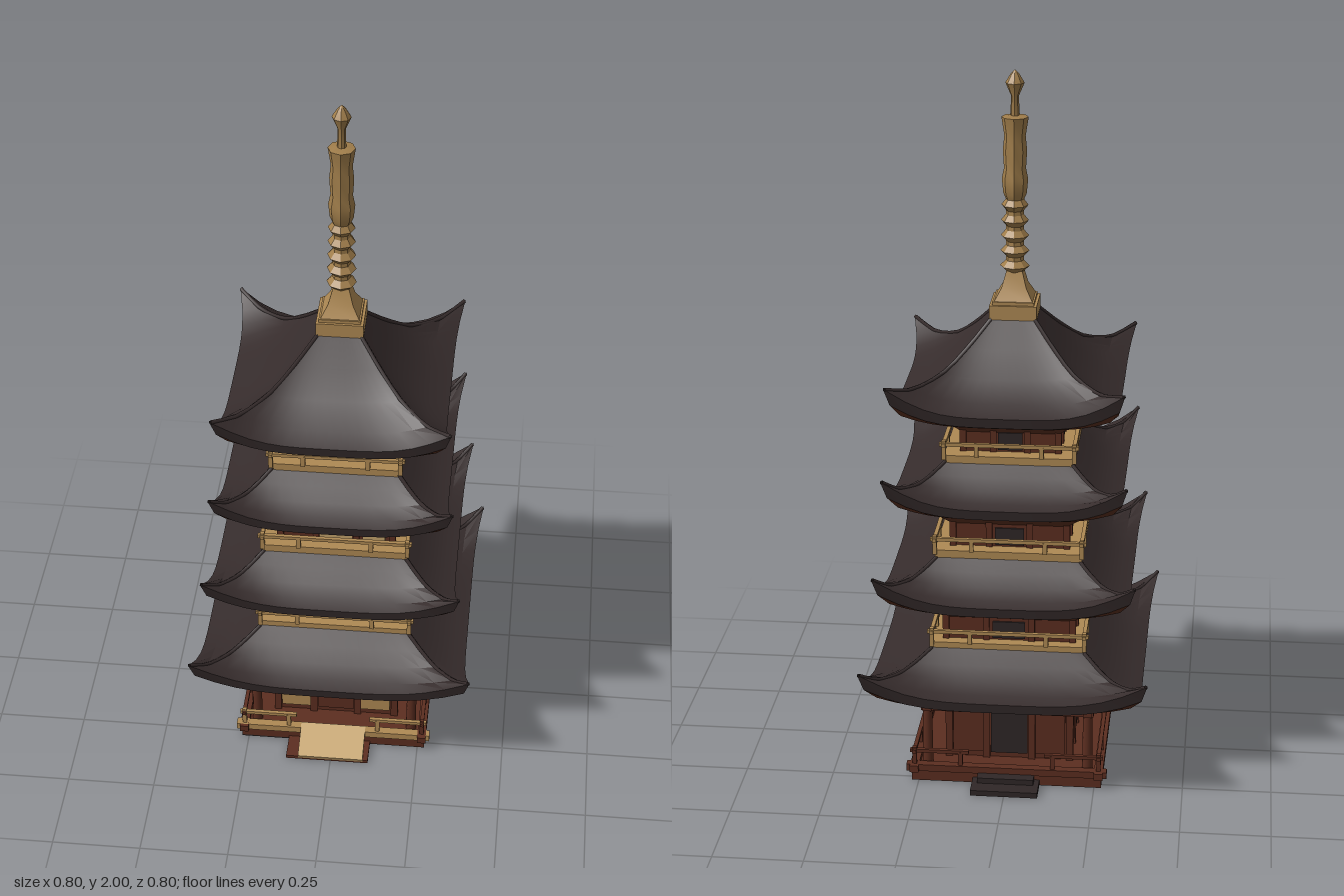
import * as THREE from 'three';
import { toCreasedNormals } from 'three/addons/utils/BufferGeometryUtils.js';

const mat = (name, color, extra = {}) => {
  const m = new THREE.MeshStandardMaterial({ color, ...extra });
  m.name = name;
  return m;
};

// Square loft through rings [halfWidth, y, cornerLift, cornerFlare], listed from the top outwards and down
function squareLoft(rings, segs = 14) {
  const pos = [];
  const point = ([r, y, lift = 0, flare = 0], j, side) => {
    const t = -1 + (2 * j) / segs, k = t ** 4;
    const s = r + flare * k * t * t;
    const v = new THREE.Vector3(t * s, y + lift * k, s);
    return v.applyAxisAngle(new THREE.Vector3(0, 1, 0), (side * Math.PI) / 2);
  };
  for (let side = 0; side < 4; side++)
    for (let i = 0; i < rings.length - 1; i++)
      for (let j = 0; j < segs; j++) {
        const a = point(rings[i], j, side), b = point(rings[i], j + 1, side);
        const c = point(rings[i + 1], j + 1, side), d = point(rings[i + 1], j, side);
        for (const p of [a, d, c, a, c, b]) pos.push(p.x, p.y, p.z);
      }
  const g = new THREE.BufferGeometry();
  g.setAttribute('position', new THREE.Float32BufferAttribute(pos, 3));
  return toCreasedNormals(g, 0.5);
}

export function createModel() {
  const model = new THREE.Group();
  model.name = 'pagoda';
  const roofDark = mat('roof tiles', 0x362c2c, { side: THREE.DoubleSide });
  const wood = mat('red brown wood', 0x5c2e20);
  const soffitWood = mat('eave wood', 0x5c301f, { side: THREE.DoubleSide });
  const tan = mat('tan wood', 0xaf8a54);
  const cream = mat('pale panel', 0xc4a36c);
  const gold = mat('old gold', 0xa17e4b);
  const dark = mat('dark panel', 0x2f2727);

  const add = (parent, name, geo, material, x = 0, y = 0, z = 0) => {
    const m = new THREE.Mesh(geo, material);
    m.name = name;
    m.position.set(x, y, z);
    parent.add(m);
    return m;
  };
  const box = (parent, name, material, w, h, d, x, y, z) =>
    add(parent, name, new THREE.BoxGeometry(w, h, d), material, x, y, z);
  const group = (name, parent = model) => {
    const g = new THREE.Group();
    g.name = name;
    parent.add(g);
    return g;
  };
  // Runs fn on four groups, each turned a quarter further: front, left, back, right
  const fourSides = (name, parent, fn) => {
    for (let s = 0; s < 4; s++) {
      const g = group(name, parent);
      g.rotation.y = (s * Math.PI) / 2;
      fn(g, s);
    }
  };

  // Tiled roof with upturned corners and flared wooden eaves
  function roof(parent, { e, yE, top, rTop, body }) {
    const h = top - yE;
    const at = (u, v, lift, flare) => [rTop + (e - rTop) * u, yE + h * v, lift, flare];
    add(parent, 'roof', squareLoft([
      at(0, 1), at(0.25, 0.64, 0.005), at(0.5, 0.33, 0.015), at(0.78, 0.1, 0.04, 0.008),
      [e, yE, 0.083, 0.02], [e - 0.005, yE - 0.028, 0.06, 0.01],
    ]), roofDark);
    add(parent, 'eaves', squareLoft([
      [e - 0.005, yE - 0.028, 0.06, 0.01], [e * 0.92, yE - 0.036, 0.03, 0.004],
      [e * 0.76, yE - 0.045, 0.006], [body + 0.035, yE - 0.066], [body, yE - 0.1],
    ]), soffitWood);
    // Hip ridges
    for (let k = 0; k < 4; k++) {
      const a = Math.PI / 4 + (k * Math.PI) / 2, q = Math.SQRT2;
      const pts = [[rTop, top], [rTop + (e - rTop) * 0.25, yE + h * 0.64 + 0.005],
        [rTop + (e - rTop) * 0.5, yE + h * 0.33 + 0.015],
        [rTop + (e - rTop) * 0.78 + 0.008, yE + h * 0.1 + 0.04], [e + 0.017, yE + 0.081]]
        .map(([r, y]) => new THREE.Vector3(Math.cos(a) * r * q, y, Math.sin(a) * r * q));
      add(parent, 'hipRidge', new THREE.TubeGeometry(new THREE.CatmullRomCurve3(pts), 10, 0.006, 5), roofDark);
    }
  }

  // Top rail with posts along one side at half width r, optionally open in the middle
  function railing(g, r, y, h, material, gap = 0) {
    const spans = gap ? [[-r, -gap], [gap, r]] : [[-r, r]];
    for (const [a, b] of spans)
      box(g, 'rail', material, b - a + 0.025, 0.01, 0.011, (a + b) / 2, y + h, r);
    for (const x of [-r, -r * 0.5, r * 0.5])
      box(g, 'railPost', material, 0.012, h + (x === -r ? 0.022 : 0), 0.012, x, y + h / 2, r);
  }

  // Platform with railings, a pale ramp in front and a dark step behind
  const base = group('base');
  box(base, 'platform', wood, 0.54, 0.035, 0.54, 0, 0.0175, 0);
  box(base, 'platformUnderside', dark, 0.54, 0.006, 0.54, 0, 0.002, 0);
  fourSides('platformEdge', base, (g, s) => {
    const m = s === 0 ? tan : wood;
    if (s === 0)
      for (const x of [-0.19, 0.19]) box(g, 'edgeBeam', m, 0.19, 0.02, 0.025, x, 0.04, 0.262);
    else box(g, 'edgeBeam', m, 0.57, 0.02, 0.025, 0, 0.04, 0.262);
    railing(g, 0.262, 0.045, 0.045, m, s % 2 === 0 ? 0.12 : 0);
  });
  box(base, 'rampBlock', wood, 0.18, 0.022, 0.06, 0, 0.011, 0.29);
  box(base, 'ramp', cream, 0.19, 0.012, 0.11, 0, 0.029, 0.303).rotation.x = 0.35;
  box(base, 'frontApron', wood, 0.24, 0.01, 0.085, -0.01, 0.005, 0.31);
  box(base, 'lowerStep', dark, 0.19, 0.016, 0.08, 0, 0.008, -0.31);
  box(base, 'upperStep', dark, 0.16, 0.032, 0.04, 0, 0.016, -0.285);

  // Ground storey
  const ground = group('groundStorey');
  box(ground, 'core', wood, 0.35, 0.21, 0.35, 0, 0.14, 0);
  fourSides('groundWall', ground, (g, s) => {
    for (const x of [-0.172, -0.065, 0.065])
      box(g, 'wallPost', wood, 0.02, 0.2, 0.02, x, 0.135, 0.174);
    for (const x of [-0.118, 0.118])
      box(g, 'wallPanel', s === 0 ? tan : wood, 0.085, 0.125, 0.006, x, 0.115, 0.177);
    box(g, 'door', s === 0 ? wood : dark, 0.105, 0.13, 0.006, 0, 0.115, 0.177);
    add(g, 'column', new THREE.CylinderGeometry(0.013, 0.015, 0.2, 8), wood, -0.228, 0.135, 0.228);
    box(g, 'columnBeam', wood, 0.49, 0.025, 0.025, 0, 0.218, 0.228);
    for (const x of [-0.2, -0.1, 0, 0.1, 0.2])
      box(g, 'bracket', wood, 0.022, 0.025, 0.05, x, 0.24, 0.238);
  });
  roof(ground, { e: 0.38, yE: 0.302, top: 0.392, rTop: 0.215, body: 0.215 });

  // Upper storeys, each with a balcony
  const storeys = [
    { y: 0.39, body: 0.182, deck: 0.215, e: 0.342, yE: 0.574, top: 0.668, rTop: 0.195 },
    { y: 0.667, body: 0.162, deck: 0.205, e: 0.315, yE: 0.852, top: 0.942, rTop: 0.175 },
    { y: 0.94, body: 0.135, deck: 0.18, e: 0.304, yE: 1.115, top: 1.325, rTop: 0.055 },
  ];
  storeys.forEach((p, i) => {
    const g = group('storey' + (i + 2));
    const h = p.yE - 0.06 - p.y;
    box(g, 'walls', wood, p.body * 2, h, p.body * 2, 0, p.y + h / 2, 0);
    box(g, 'balconyDeck', tan, p.deck * 2, 0.022, p.deck * 2, 0, p.y + 0.008, 0);
    fourSides('balconySide', g, (side, s) => {
      railing(side, p.deck, p.y + 0.018, 0.034, tan);
      const b = p.body;
      for (const x of [-1, -0.36, 0.36])
        box(side, 'wallPost', wood, 0.018, h, 0.018, x * (b - 0.004), p.y + h / 2, b - 0.002);
      // Pale panels: a wide one in front, a small one low on the other walls
      if (s === 0) box(side, 'frontPanel', cream, b * 0.58, 0.05, 0.006, 0, p.y + 0.045, b + 0.002);
      else box(side, 'door', dark, b * 0.5, 0.05, 0.006, 0, p.y + 0.05, b + 0.002);
      if (s !== 2) box(side, 'sidePanel', cream, b * 0.4, 0.035, 0.006, b * 0.66, p.y + 0.04, b + 0.002);
    });
    roof(g, p);
  });

  // Spire: square foot, ringed shaft and jewel
  const spire = group('spire');
  box(spire, 'spireFoot', tan, 0.13, 0.04, 0.13, 0, 1.337, 0);
  box(spire, 'spireFootCap', tan, 0.115, 0.012, 0.115, 0, 1.36, 0);
  add(spire, 'spirePyramid', squareLoft([[0.022, 1.445], [0.034, 1.4], [0.055, 1.362]], 1), tan);
  const profile = [[0.022, 1.43]];
  for (let i = 0; i < 5; i++) {
    const y = 1.452 + i * 0.043;
    profile.push([0.024, y - 0.012], [0.041 - i * 0.001, y + 0.004], [0.025, y + 0.02]);
  }
  profile.push([0.032, 1.66], [0.036, 1.7], [0.03, 1.73], [0.033, 1.78], [0.029, 1.82],
    [0.037, 1.872], [0.012, 1.876], [0.011, 1.93], [0.026, 1.965], [0.012, 1.988], [0, 2]);
  const shaft = new THREE.LatheGeometry(profile.map(([r, y]) => new THREE.Vector2(r, y)), 8);
  add(spire, 'spireShaft', toCreasedNormals(shaft, 0.5), gold);
  return model;
}
